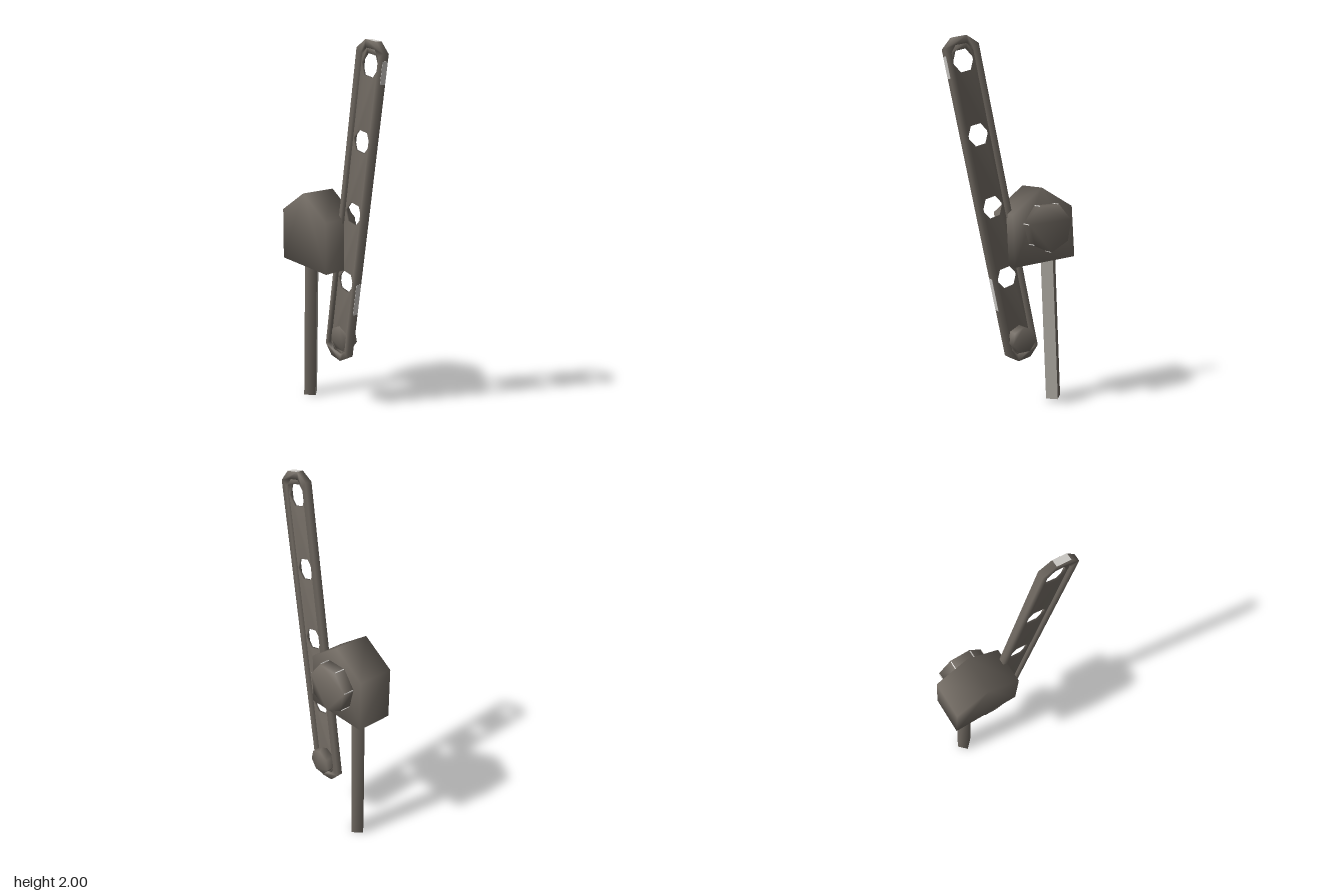
import * as THREE from 'three';
import { mergeVertices } from 'three/addons/utils/BufferGeometryUtils.js';

function flatColour(name, color) {
  const material = new THREE.MeshStandardMaterial({ color });
  material.name = name;
  return material;
}
const metal = flatColour('dark warm grey', 0x746d65);
const worn = flatColour('light grey', 0xb3aea7);
const bright = flatColour('pale grey', 0xd6d3cf);

// Shares normals across edges for soft, low-poly shading
function soften(geometry) {
  geometry.deleteAttribute('uv');
  geometry.deleteAttribute('normal');
  const merged = mergeVertices(geometry, 1e-4);
  merged.computeVertexNormals();
  return merged;
}

function part(name, geometry, material = metal) {
  const mesh = new THREE.Mesh(soften(geometry), material);
  mesh.name = name;
  return mesh;
}

// Thin painted plate
function plate(name, size, position, material) {
  const mesh = new THREE.Mesh(new THREE.BoxGeometry(...size), material);
  mesh.name = name;
  mesh.position.set(...position);
  return mesh;
}

const toPoints = (list) => list.map(([x, y]) => new THREE.Vector2(x, y));

function polygon(sides, radius, startDegrees, cx = 0, cy = 0) {
  return Array.from({ length: sides }, (_, i) => {
    const a = THREE.MathUtils.degToRad(startDegrees) + (i * 2 * Math.PI) / sides;
    return new THREE.Vector2(cx + radius * Math.cos(a), cy + radius * Math.sin(a));
  });
}

// Flat outline with optional holes, extruded between two depths
function slab(outline, back, front, holes = []) {
  const shape = new THREE.Shape(outline);
  holes.forEach((h) => shape.holes.push(new THREE.Path(h)));
  const g = new THREE.ExtrudeGeometry(shape, { depth: front - back, bevelEnabled: false });
  return g.translate(0, 0, back);
}

// Long outline with chamfered ends
function barOutline(halfWidth, tipHalf, shoulder, tip) {
  return toPoints([
    [halfWidth, -shoulder], [halfWidth, shoulder], [tipHalf, tip], [-tipHalf, tip],
    [-halfWidth, shoulder], [-halfWidth, -shoulder], [-tipHalf, -tip], [tipHalf, -tip],
  ]);
}

export function createModel() {
  const model = new THREE.Group();

  // Five-sided head with the round boss on its back
  const head = new THREE.Group();
  head.name = 'head';
  head.position.y = 1.01;
  head.rotation.x = 0.035;
  const pentagon = toPoints([
    [-0.155, 0.21], [-0.345, 0.1], [-0.36, -0.18], [0.018, -0.205], [0.028, 0.075],
  ]);
  head.add(part('headBlock', slab(pentagon, -0.07, 0.132)));
  const bossOutline = polygon(7, 0.132, 165, -0.169, 0);
  head.add(part('backBoss', slab(bossOutline, -0.135, -0.06)));
  // Worn edges along the boss
  bossOutline.forEach((p) => {
    const edge = plate('bossEdge', [0.005, 0.005, 0.055], [p.x, p.y, -0.101], bright);
    edge.rotation.z = Math.atan2(p.y, p.x + 0.169);
    head.add(edge);
  });
  model.add(head);

  // Leaning square handle set cornerwise, with one worn face
  const from = new THREE.Vector3(-0.283, 0.003, 0.004);
  const to = new THREE.Vector3(-0.243, 0.9, 0.016);
  const along = to.clone().sub(from);
  const length = along.length();
  const handle = new THREE.Group();
  handle.name = 'handle';
  handle.add(part('handleBar', new THREE.CylinderGeometry(0.047, 0.047, length, 4)));
  const face = new THREE.CylinderGeometry(0.0485, 0.0485, length, 1, 1, true, Math.PI / 2, Math.PI / 2);
  handle.add(part('wornHandleFace', face, worn));
  handle.position.copy(from).add(to).multiplyScalar(0.5);
  handle.quaternion.setFromUnitVectors(new THREE.Vector3(0, 1, 0), along.normalize());
  model.add(handle);

  // Perforated arm: raised rim around a thin web with five holes
  const arm = new THREE.Group();
  arm.name = 'arm';
  arm.position.set(0.107, 1.1365, 0.006);
  arm.rotation.set(0.037, 0, -0.197);
  const channel = barOutline(0.064, 0.034, 0.8, 0.835);
  arm.add(part('armRim', slab(barOutline(0.096, 0.038, 0.825, 0.873), -0.018, 0.018, [channel])));
  const holes = [-0.752, -0.4, -0.01, 0.376, 0.755].map((y) => polygon(6, 0.0625, 116.5, 0, y));
  arm.add(part('armWeb', slab(channel, -0.006, 0.006, holes)));

  // Bright worn patches on the arm's tip and outer side
  arm.add(plate('tipPatch', [0.076, 0.004, 0.035], [0, 0.872, 0], bright));
  [[0.735, 0.11], [-0.47, 0.18]].forEach(([y, size]) => {
    arm.add(plate('sidePatch', [0.004, size, 0.033], [0.0955, y, 0], bright));
  });

  // Pivot pin standing out behind the lowest hole
  arm.add(part('pivotPin', slab(polygon(7, 0.073, 100, 0, -0.752), -0.06, 0.009)));
  model.add(arm);

  return model;
}
